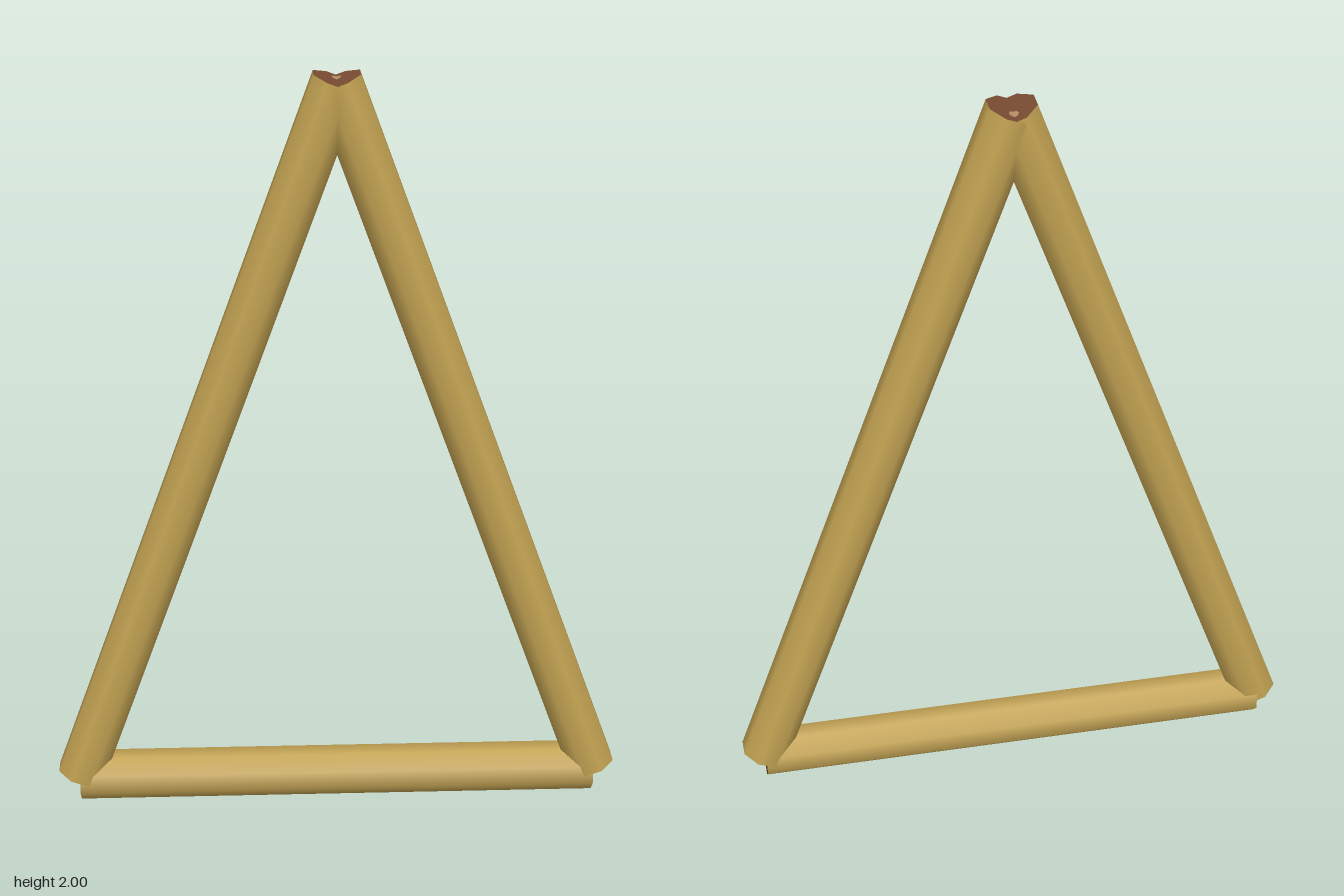
import * as THREE from 'three';

const RADIUS = 0.0665; // corner radius of the octagonal pole
const HALF = 0.0615;   // half width across the flats

export function createModel() {
  const model = new THREE.Group();
  model.name = 'triangleFrame';

  const bark = new THREE.MeshStandardMaterial({ color: 0xc2a252 });
  bark.name = 'golden wood';
  const endGrain = new THREE.MeshStandardMaterial({ color: 0x7a4c33 });
  endGrain.name = 'brown end grain';
  const pithColor = new THREE.MeshStandardMaterial({ color: 0xb89468 });
  pithColor.name = 'pale pith';

  // A pole between two points, with brown ends and a small off-centre pith
  function pole(name, from, to, px, pz) {
    const group = new THREE.Group();
    group.name = name;
    const axis = to.clone().sub(from);
    const length = axis.length();

    const shaft = new THREE.Mesh(
      new THREE.CylinderGeometry(RADIUS, RADIUS, length, 8, 1, false, Math.PI / 8),
      [bark, endGrain, endGrain]);
    shaft.name = name + 'Shaft';
    group.add(shaft);

    for (const side of [-1, 1]) {
      const pith = new THREE.Mesh(new THREE.CylinderGeometry(0.013, 0.013, 0.002, 8), pithColor);
      pith.name = name + 'Pith';
      pith.position.set(px, side * length / 2, pz);
      group.add(pith);
    }

    group.position.copy(from).add(to).multiplyScalar(0.5);
    group.quaternion.setFromUnitVectors(new THREE.Vector3(0, 1, 0), axis.normalize());
    model.add(group);
  }

  const apex = new THREE.Vector3(0, 1.979, 0);
  const left = new THREE.Vector3(0.695, HALF + 0.004, 0);
  const right = new THREE.Vector3(-0.695, HALF + 0.004, 0);

  // Two leaning poles meeting at the top, and the pole along the ground
  pole('leftPole', left, apex, 0, -0.025);
  pole('rightPole', right, apex, 0, -0.025);
  pole('basePole', new THREE.Vector3(-0.695, HALF, 0), new THREE.Vector3(0.695, HALF, 0), 0.015, 0.02);

  return model;
}
